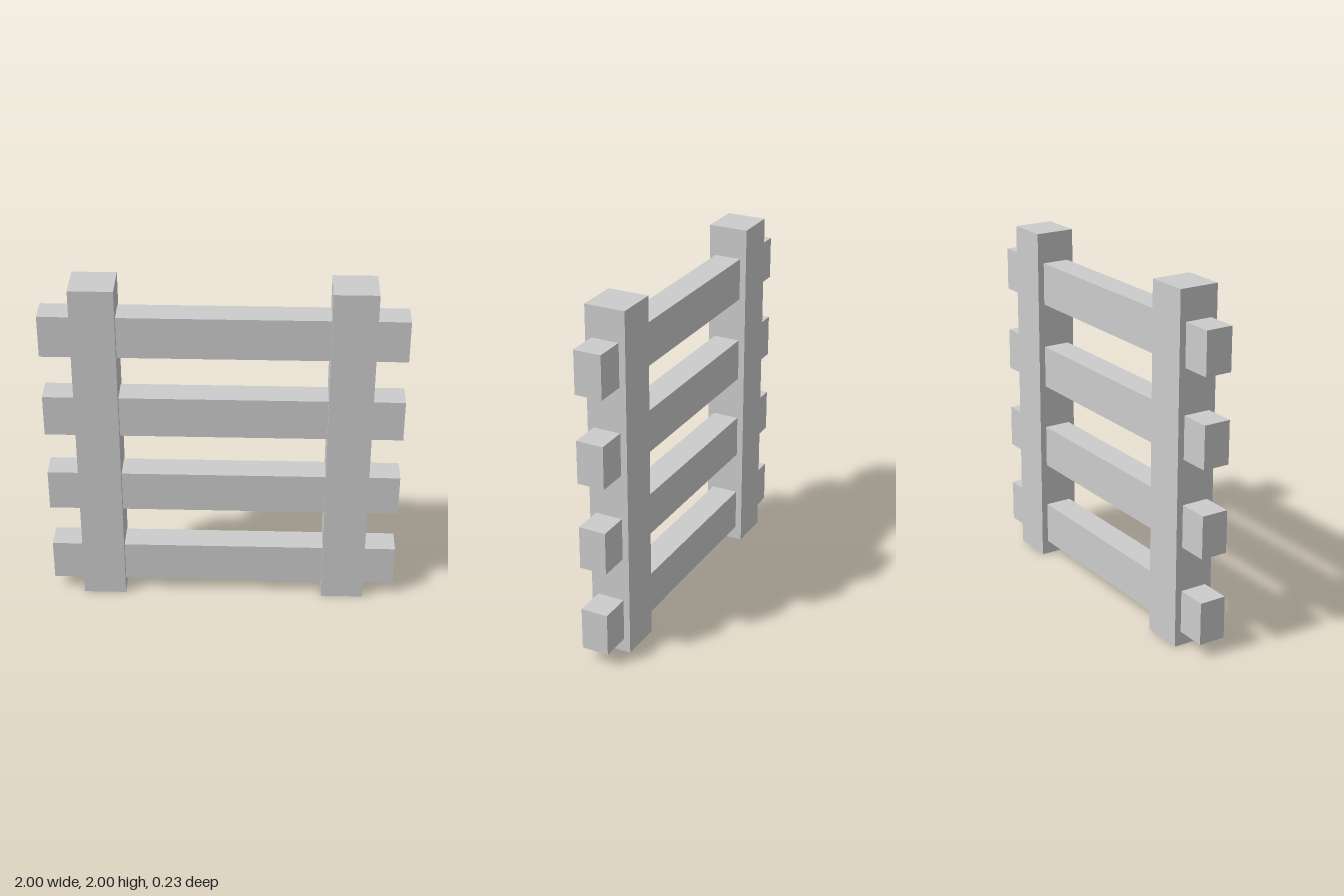
import * as THREE from 'three';

const RAIL_COUNT = 4;
const RAIL_SPACING = 0.5;

export function createModel() {
  const group = new THREE.Group();
  const material = new THREE.MeshStandardMaterial({ color: 0xcccccc, flatShading: true });

  function addBeam(name, size, position) {
    const mesh = new THREE.Mesh(new THREE.BoxGeometry(...size), material);
    mesh.name = name;
    mesh.position.set(...position);
    group.add(mesh);
  }

  // Two upright posts
  addBeam('leftPost', [0.244, 2, 0.23], [0.7, 1, 0]);
  addBeam('rightPost', [0.244, 2, 0.23], [-0.7, 1, 0]);

  // Horizontal rails running through the posts
  for (let i = 0; i < RAIL_COUNT; i++) {
    addBeam(`rail${i + 1}`, [2, 0.244, 0.156], [0, 0.203 + i * RAIL_SPACING, 0]);
  }

  return group;
}
